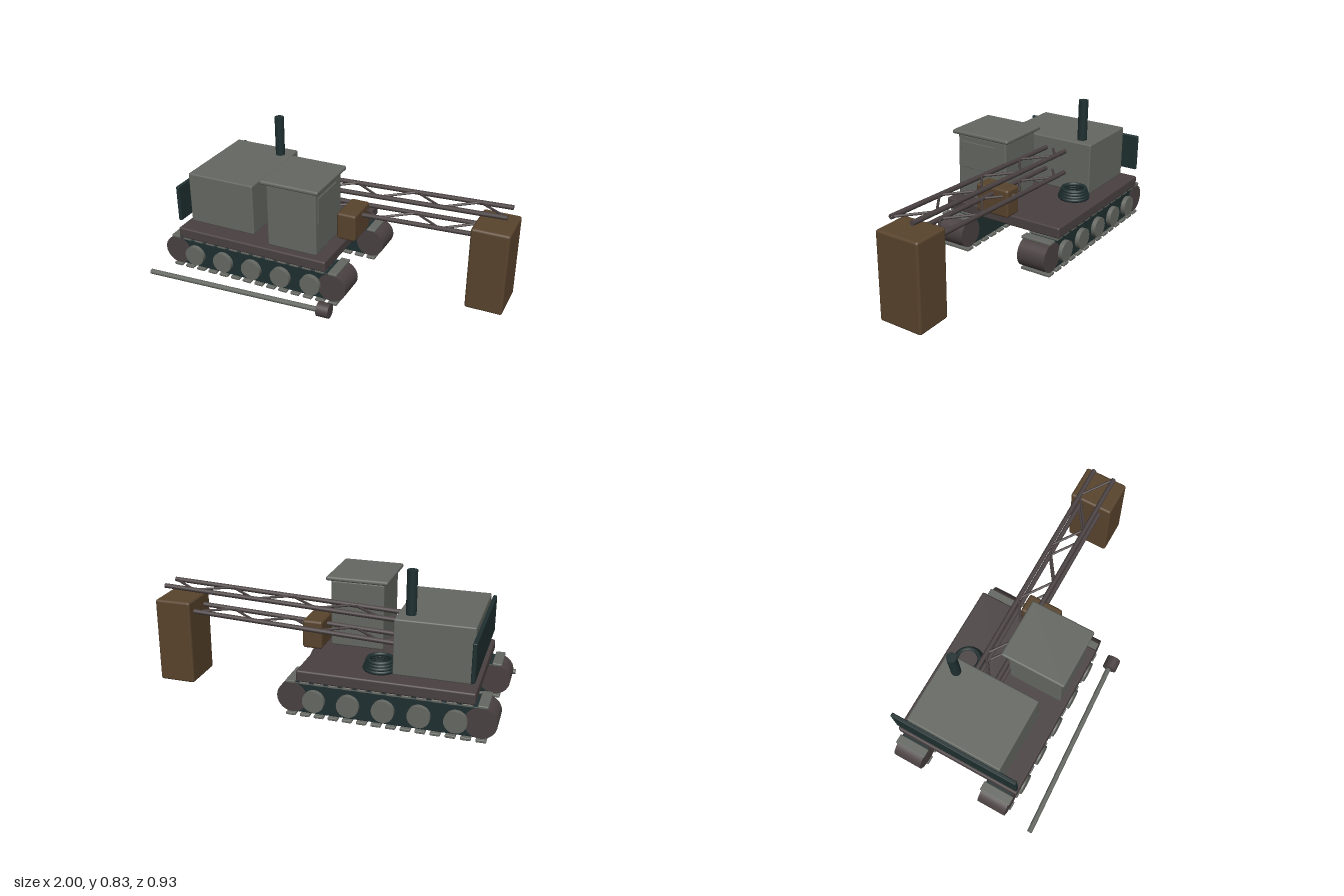
import * as THREE from 'three';
import { RoundedBoxGeometry } from 'three/addons/geometries/RoundedBoxGeometry.js';

const mat = (name, color) => {
  const m = new THREE.MeshStandardMaterial({ color });
  m.name = name;
  return m;
};

export function createModel() {
  const model = new THREE.Group();
  model.name = 'trackedCrane';
  const grey = mat('greenGrey', 0x656862);
  const iron = mat('darkIron', 0x4a4141);
  const teal = mat('darkTeal', 0x1f2f30);
  const brown = mat('rustBrown', 0x59442d);

  const add = (name, geometry, material, parent = model) => {
    const mesh = new THREE.Mesh(geometry, material);
    mesh.name = name;
    parent.add(mesh);
    return mesh;
  };
  // Softly bevelled box given by its limits on each axis
  const box = (name, [x0, x1], [y0, y1], [z0, z1], bevel, material, parent) => {
    const mesh = add(name, new RoundedBoxGeometry(x1 - x0, y1 - y0, z1 - z0, 2, bevel), material, parent);
    mesh.position.set((x0 + x1) / 2, (y0 + y1) / 2, (z0 + z1) / 2);
    return mesh;
  };
  // Cylinder running between two points
  const rod = (name, a, b, radius, material, parent, sides = 12) => {
    const from = new THREE.Vector3(...a), to = new THREE.Vector3(...b);
    const dir = to.clone().sub(from);
    const mesh = add(name, new THREE.CylinderGeometry(radius, radius, dir.length(), sides), material, parent);
    mesh.position.copy(from).add(to).multiplyScalar(0.5);
    mesh.quaternion.setFromUnitVectors(new THREE.Vector3(0, 1, 0), dir.normalize());
    return mesh;
  };

  // Crawler tracks: frame, end drums, road wheels on the outside, tread pads
  const midX = -0.405;
  for (const side of [1, -1]) {
    const track = new THREE.Group();
    track.name = side > 0 ? 'frontTrack' : 'rearTrack';
    track.position.set(midX, 0, side > 0 ? 0.197 : -0.355);
    model.add(track);
    box('trackFrame', [-0.505, 0.505], [0.025, 0.197], [-0.083, 0.083], 0.006, teal, track);
    for (const x of [-0.505, 0.505])
      rod('endDrum', [x, 0.11, -0.086], [x, 0.11, 0.086], 0.086, iron, track, 28);
    for (let i = -2; i <= 2; i++)
      rod('roadWheel', [i * 0.19, 0.106, side * 0.06], [i * 0.19, 0.106, side * 0.11], 0.061, grey, track, 24);
    for (let i = 0; i < 14; i++) {
      const x = -0.513 + i * 0.0789;
      for (const y of [0.003, 0.193])
        box('treadPad', [x - 0.027, x + 0.027], [y, y + 0.017], [-0.093, 0.093], 0.005, grey, track);
    }
  }

  // Deck and engine house
  box('deck', [-0.88, 0.07], [0.213, 0.278], [-0.461, 0.303], 0.01, iron);
  box('engineHouse', [-0.852, -0.43], [0.28, 0.59], [-0.365, 0.2], 0.008, grey);
  box('rearPlate', [-0.872, -0.85], [0.33, 0.545], [-0.462, 0.303], 0.005, teal);
  rod('exhaustStack', [-0.5, 0.56, -0.27], [-0.5, 0.83, -0.27], 0.028, teal, model, 20);

  // Cab
  box('cab', [-0.303, 0], [0.28, 0.662], [-0.064, 0.264], 0.01, grey);
  box('cabRoof', [-0.328, 0.024], [0.664, 0.689], [-0.089, 0.291], 0.011, grey);
  box('cabWindow', [-0.003, 0.005], [0.467, 0.625], [0.01, 0.24], 0.003, grey);

  // Rope coil on the deck
  [0.082, 0.077, 0.071, 0.066].forEach((radius, i) => {
    const ring = add('ropeCoil', new THREE.TorusGeometry(radius, 0.012, 8, 28), teal);
    ring.rotation.x = Math.PI / 2;
    ring.position.set(-0.352, 0.291 + i * 0.015, -0.31);
  });

  // Lattice boom: four chords with zigzag bracing above and below
  const boom = new THREE.Group();
  boom.name = 'boom';
  model.add(boom);
  const zs = [-0.066, -0.195], x0 = -0.5, x1 = 0.957, bays = 8;
  for (const [y0, y1] of [[0.517, 0.577], [0.384, 0.446]]) {
    const at = (t, z) => [x0 + (x1 - x0) * t, y0 + (y1 - y0) * t, z];
    for (const z of zs) rod('boomChord', at(0, z), at(1, z), 0.0135, iron, boom);
    for (let i = 0; i < bays; i++)
      rod('boomBrace', at(i / bays, zs[i % 2]), at((i + 1) / bays, zs[(i + 1) % 2]), 0.007, iron, boom, 8);
  }

  // Hanging weight and the small crate beside the cab
  box('hangingWeight', [0.783, 0.997], [0.01, 0.507], [-0.256, 0.005], 0.014, brown);
  box('crate', [0.02, 0.135], [0.285, 0.449], [-0.17, 0.042], 0.014, brown);

  // Loose pole with a round head lying on the ground
  rod('pole', [-0.999, 0.026, 0.447], [0.1, 0.032, 0.395], 0.015, grey);
  rod('poleHead', [0.077, 0.043, 0.401], [0.148, 0.043, 0.398], 0.042, iron, model, 24);

  return model;
}
